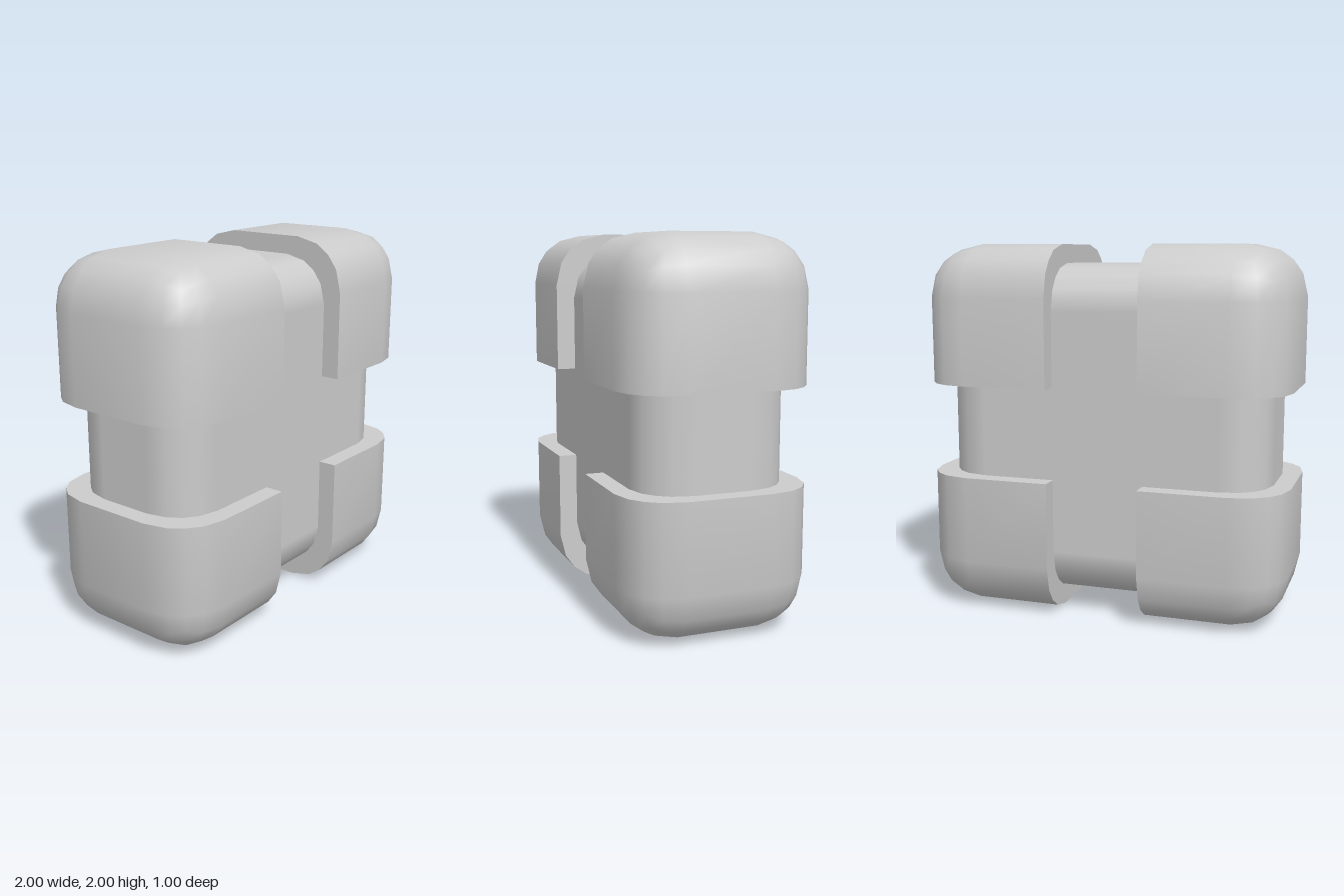
import * as THREE from 'three';
import { RoundedBoxGeometry } from 'three/addons/geometries/RoundedBoxGeometry.js';
import { toCreasedNormals } from 'three/addons/utils/BufferGeometryUtils.js';

const GAP = 0.25; // half width of the cross-shaped groove

// One corner of a rounded block: everything past the groove planes is flattened onto them
function cornerGeometry(sx, sy) {
  const geometry = new RoundedBoxGeometry(2, 2, 1, 2, 0.28);
  const p = geometry.attributes.position;
  for (let i = 0; i < p.count; i++) {
    p.setX(i, sx * Math.max(sx * p.getX(i), GAP));
    p.setY(i, sy * Math.max(sy * p.getY(i), GAP));
  }
  return toCreasedNormals(geometry, 0.7);
}

export function createModel() {
  const group = new THREE.Group();
  group.name = 'corneredBlock';
  const material = new THREE.MeshStandardMaterial({ color: 0xcccccc });

  const add = (name, geometry) => {
    const mesh = new THREE.Mesh(geometry, material);
    mesh.name = name;
    mesh.position.y = 1;
    group.add(mesh);
  };

  // Recessed core
  add('core', new RoundedBoxGeometry(1.8, 1.8, 0.8, 2, 0.25));

  // Four raised corner caps
  for (const [side, sx] of [['Left', 1], ['Right', -1]]) {
    for (const [level, sy] of [['upper', 1], ['lower', -1]]) {
      add(`${level}${side}Corner`, cornerGeometry(sx, sy));
    }
  }
  return group;
}
